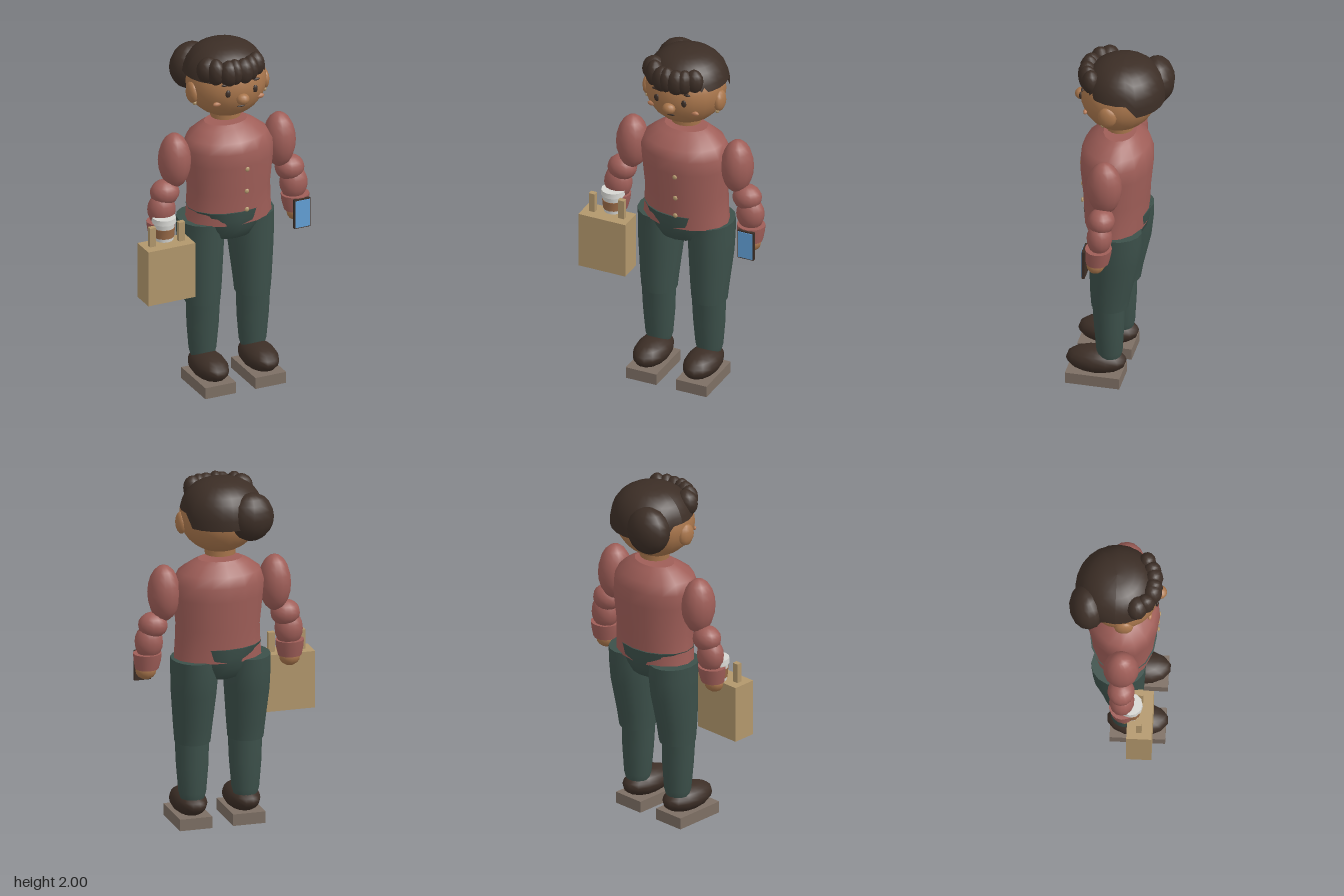
import * as THREE from 'three';

const mat = (name, color, extra) => Object.assign(new THREE.MeshStandardMaterial({ color, ...extra }), { name });
const skin = mat('skin', 0xa9764c);
const dark = mat('dark brown', 0x3c2e26, { side: THREE.DoubleSide });
const shirt = mat('dusty red', 0x9f5e58);
const pants = mat('dark green', 0x3c504a);
const rubber = mat('sole grey', 0x7d6f64);
const paper = mat('paper tan', 0xb2976c);
const white = mat('cup white', 0xd6d6d2);
const sleeve = mat('cup sleeve', 0x9a6b48);
const blue = mat('screen blue', 0x629fd6);
const blush = mat('blush', 0xb87c58);

const CX = 0.035; // body midline

export function createModel() {
  const model = new THREE.Group();
  model.name = 'walker';

  const add = (name, geo, material, x = 0, y = 0, z = 0) => {
    const m = new THREE.Mesh(geo, material);
    m.name = name;
    m.position.set(x, y, z);
    model.add(m);
    return m;
  };
  const ball = (name, material, [x, y, z], [rx, ry, rz], w = 14, h = 10) =>
    add(name, new THREE.SphereGeometry(1, w, h).scale(rx, ry, rz), material, x, y, z);
  const box = (name, material, x0, x1, y0, y1, z0, z1) =>
    add(name, new THREE.BoxGeometry(x1 - x0, y1 - y0, z1 - z0), material, (x0 + x1) / 2, (y0 + y1) / 2, (z0 + z1) / 2);

  // Smooth skin over elliptical sections [x, y, z, rx, rz] from bottom to top, with flat caps
  const loft = (name, material, sections, n = 16) => {
    const pos = [], idx = [];
    const ring = ([x, y, z, rx, rz]) => {
      const start = pos.length / 3;
      for (let j = 0; j < n; j++) {
        const a = (j / n) * Math.PI * 2;
        pos.push(x + rx * Math.cos(a), y, z + rz * Math.sin(a));
      }
      return start;
    };
    const rings = sections.map(ring);
    for (let i = 0; i + 1 < rings.length; i++) {
      for (let j = 0; j < n; j++) {
        const k = (j + 1) % n;
        const a = rings[i] + j, b = rings[i] + k, c = rings[i + 1] + j, d = rings[i + 1] + k;
        idx.push(a, c, b, b, c, d);
      }
    }
    [sections[0], sections[sections.length - 1]].forEach((s, top) => {
      const start = ring(s), centre = pos.length / 3;
      pos.push(s[0], s[1], s[2]);
      for (let j = 0; j < n; j++) {
        const a = start + j, b = start + ((j + 1) % n);
        idx.push(centre, top ? b : a, top ? a : b);
      }
    });
    const g = new THREE.BufferGeometry();
    g.setAttribute('position', new THREE.Float32BufferAttribute(pos, 3));
    g.setIndex(idx);
    g.computeVertexNormals();
    return add(name, g, material);
  };

  // Torso, pelvis and neck
  loft('torso', shirt, [
    [CX + 0.01, 0.975, 0.02, 0.25, 0.172], [CX + 0.01, 1.05, 0.02, 0.243, 0.177],
    [CX + 0.01, 1.16, 0.02, 0.238, 0.183], [CX + 0.01, 1.33, 0.02, 0.255, 0.2],
    [CX + 0.005, 1.41, 0.02, 0.257, 0.198], [CX, 1.47, 0.02, 0.23, 0.178],
    [CX, 1.52, 0.01, 0.165, 0.115], [CX, 1.54, 0.005, 0.125, 0.09],
  ]);
  loft('pelvis', pants, [
    [CX, 0.855, 0.02, 0.1, 0.08], [CX, 0.88, 0.02, 0.15, 0.13],
    [CX, 0.94, 0.02, 0.18, 0.165], [CX, 1.0, 0.02, 0.205, 0.18], [CX, 1.055, 0.02, 0.235, 0.184],
  ]);
  loft('neck', skin, [[CX, 1.565, 0.005, 0.085, 0.077], [CX, 1.64, 0.005, 0.09, 0.08]]);
  for (const [y, z] of [[1.315, 0.217], [1.18, 0.21], [1.07, 0.21]])
    ball('button', paper, [0.066, y, z], [0.014, 0.014, 0.008], 8, 6);

  // Legs and shoes
  for (const s of [-1, 1]) {
    const x = CX + s * 0.152;
    loft('shin', pants, [
      [x, 0.165, 0.03, 0.067, 0.065], [x, 0.2, 0.03, 0.077, 0.073],
      [x, 0.35, 0.032, 0.09, 0.083], [x, 0.52, 0.037, 0.096, 0.09],
    ]);
    loft('thigh', pants, [
      [x, 0.49, 0.028, 0.099, 0.103], [x, 0.58, 0.024, 0.107, 0.114],
      [x, 0.78, 0.005, 0.124, 0.14], [x - s * 0.002, 0.9, 0, 0.13, 0.148], [x, 0.98, 0, 0.128, 0.15],
    ]);
    ball('shoe', dark, [x, 0.125, 0.105], [0.097, 0.075, 0.17]);
    box('sole', rubber, x - 0.093, x + 0.093, 0, 0.066, -0.045, 0.26);
  }

  // Arms with puffed sleeves
  for (const s of [-1, 1]) {
    const at = (d, y, z) => [CX + s * d, y, z];
    ball('upperArm', shirt, at(0.318, 1.36, 0.022), [0.09, 0.16, 0.098]);
    ball('elbow', shirt, at(0.379, 1.18, 0.025), [0.083, 0.073, 0.075]);
    ball('forearm', shirt, at(0.401, 1.085, 0.03), [0.08, 0.098, 0.07]);
    const cx = CX + s * 0.408;
    loft('cuff', shirt, [
      [cx + s * 0.002, 0.93, 0.04, 0.066, 0.064], [cx, 0.98, 0.037, 0.077, 0.072], [cx, 1.02, 0.034, 0.08, 0.074],
    ], 14);
    ball('hand', skin, at(0.412, 0.92, 0.048), [0.06, 0.055, 0.052], 12, 8);
  }

  // Head with face details laid on its surface
  const HY = 1.785, HZ = 0.01;
  ball('head', skin, [CX, HY, HZ], [0.225, 0.205, 0.213], 20, 14);
  const faceZ = (dx, y) => HZ + 0.213 * Math.sqrt(1 - (dx / 0.225) ** 2 - ((y - HY) / 0.205) ** 2);
  ball('nose', skin, [CX, 1.748, 0.225], [0.038, 0.032, 0.034], 12, 8);
  ball('mouth', dark, [CX, 1.698, faceZ(0, 1.698)], [0.026, 0.006, 0.006], 10, 6);
  for (const s of [-1, 1]) {
    ball('eye', dark, [CX + s * 0.082, 1.788, faceZ(0.082, 1.788)], [0.016, 0.022, 0.009], 10, 8);
    ball('eyebrow', dark, [CX + s * 0.095, 1.838, faceZ(0.095, 1.838)], [0.022, 0.008, 0.009], 10, 6);
    ball('cheek', blush, [CX + s * 0.13, 1.72, faceZ(0.13, 1.72)], [0.026, 0.014, 0.012], 10, 6);
    ball('ear', skin, [CX + s * 0.216, 1.752, 0.03], [0.03, 0.062, 0.053], 12, 8);
    ball('earring', paper, [CX + s * 0.212, 1.698, 0.055], [0.012, 0.014, 0.013], 8, 6);
  }

  // Hair cap: boxy dome with a hairline that drops at the back
  const cap = new THREE.SphereGeometry(1, 24, 8, 0, Math.PI * 2, 0, Math.PI / 2);
  const p = cap.attributes.position;
  for (let i = 0; i < p.count; i++) {
    const phi = Math.atan2(p.getZ(i), p.getX(i));
    const hairline = Math.sin(phi) > -0.3 ? 0.2 : -0.1;
    const e = Math.PI / 2 - Math.acos(Math.min(1, p.getY(i))) / (Math.PI / 2) * (Math.PI / 2 - hairline);
    const r = Math.pow(Math.max(0, Math.cos(e)), 0.8);
    p.setXYZ(i, 0.234 * r * Math.cos(phi), 0.21 * Math.sign(e) * Math.pow(Math.abs(Math.sin(e)), 0.9), 0.228 * r * Math.sin(phi));
  }
  cap.computeVertexNormals();
  add('hairCap', cap, dark, CX - 0.002, 1.79, -0.016);
  ball('hairBun', dark, [-0.09, 1.815, -0.172], [0.128, 0.135, 0.1]).rotation.y = 0.15;

  // Fringe of overlapping locks
  const locks = [
    [-0.115, 1.9, 0.1, 0.068, 0.076, 0.06], [-0.09, 1.9, 0.145, 0.05, 0.078, 0.055],
    [-0.027, 1.895, 0.18, 0.058, 0.076, 0.055], [0.06, 1.895, 0.185, 0.058, 0.076, 0.052],
    [0.005, 1.9, 0.186, 0.045, 0.076, 0.052], [0.105, 1.9, 0.172, 0.045, 0.074, 0.052],
    [0.15, 1.905, 0.145, 0.052, 0.07, 0.048],
  ];
  for (const [x, y, z, a, b, c] of locks) ball('fringeLock', dark, [x, y, z], [a, b, c], 12, 8);

  // Paper bag with two handle posts
  box('bag', paper, -0.527, -0.242, 0.6, 0.925, 0.062, 0.2);
  box('bagHandle', paper, -0.49, -0.454, 0.92, 1.037, 0.115, 0.145);
  box('bagHandle', paper, -0.314, -0.277, 0.92, 1.037, 0.115, 0.145);

  // Takeaway cup
  const cup = (name, m, y0, y1, r0, r1) =>
    loft(name, m, [[-0.374, y0, 0.078, r0, r0], [-0.374, y1, 0.078, r1, r1]], 12);
  cup('cup', white, 0.9, 1.035, 0.049, 0.061);
  cup('cupSleeve', sleeve, 0.945, 1.0, 0.056, 0.061);
  cup('cupLid', white, 1.03, 1.06, 0.068, 0.066);

  // Phone
  box('phone', dark, 0.4, 0.497, 0.843, 1.015, 0.1, 0.118);
  box('phoneScreen', blue, 0.405, 0.492, 0.849, 1.009, 0.117, 0.122);

  return model;
}
